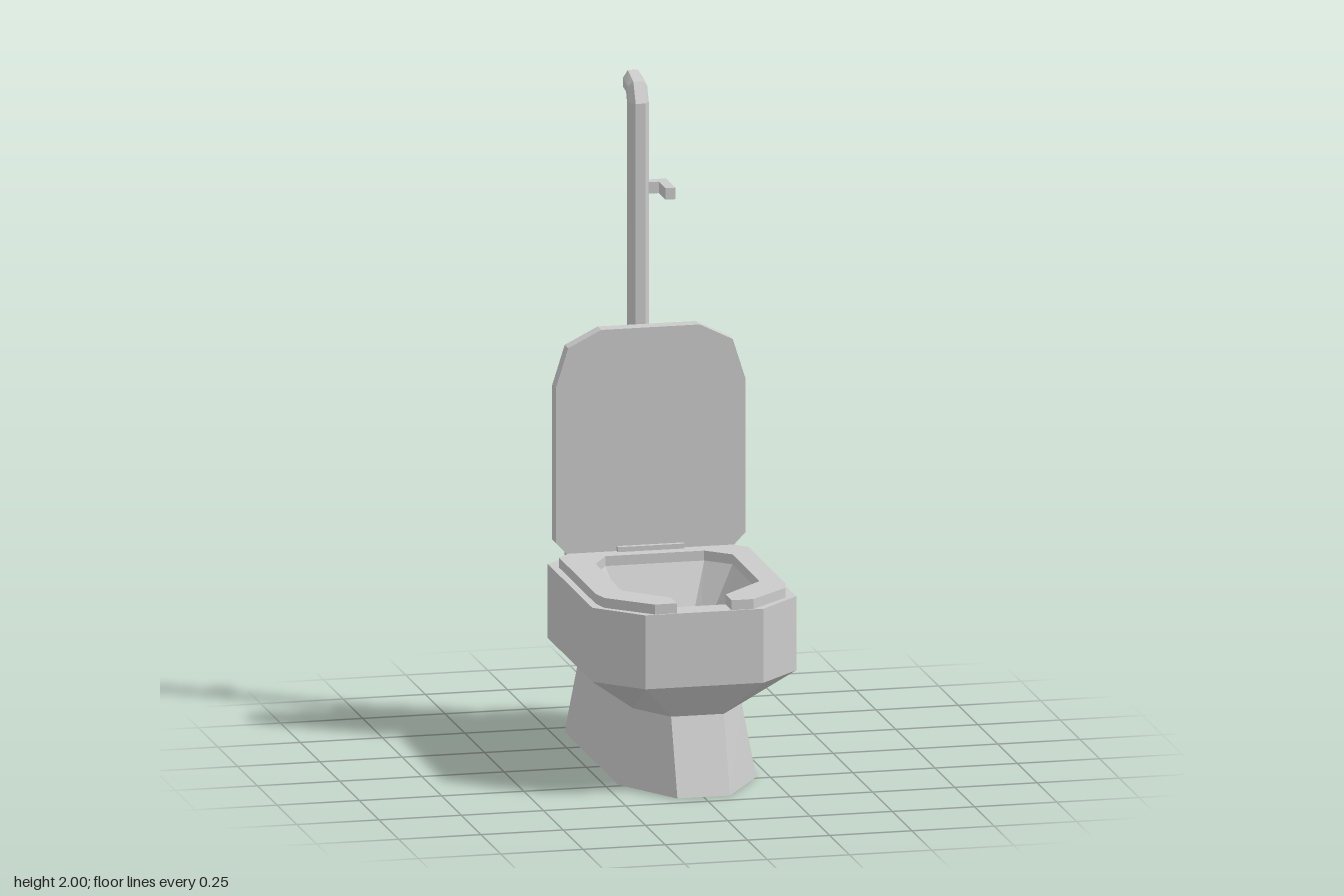
import * as THREE from 'three';

const mat = new THREE.MeshStandardMaterial({ color: 0xcccccc, flatShading: true, side: THREE.DoubleSide });

function named(geo, name) {
  const mesh = new THREE.Mesh(geo, mat);
  mesh.name = name;
  return mesh;
}

// [x, z] half outline, starting at the front on +x -> open chain from -x back round to +x back
const mirror = (half) => [...half.map(([x, z]) => [-x, z]).reverse(), ...half];
const level = (pts, y) => pts.map(([x, z]) => [x, y, z]);

// Skin a series of cross-sections with equal point counts
function loft(rings, closed = false) {
  const pos = [];
  for (let r = 0; r + 1 < rings.length; r++) {
    const a = rings[r], b = rings[r + 1], n = a.length;
    for (let i = 0; i < (closed ? n : n - 1); i++) {
      const j = (i + 1) % n;
      pos.push(...b[i], ...b[j], ...a[j], ...b[i], ...a[j], ...a[i]);
    }
  }
  const geo = new THREE.BufferGeometry();
  geo.setAttribute('position', new THREE.Float32BufferAttribute(pos, 3));
  geo.computeVertexNormals();
  return geo;
}

// Horizontal plate from an [x, z] outline, with an optional hole
function plate(outline, hole, y, height = 0) {
  const v = (pts) => pts.map(([x, z]) => new THREE.Vector2(x, -z));
  const shape = new THREE.Shape(v(outline));
  if (hole) shape.holes.push(new THREE.Path(v(hole)));
  const geo = height
    ? new THREE.ExtrudeGeometry(shape, { depth: height, bevelEnabled: false })
    : new THREE.ShapeGeometry(shape);
  return geo.rotateX(-Math.PI / 2).translate(0, y, 0);
}

function box(x0, x1, y0, y1, z0, z1) {
  return new THREE.BoxGeometry(x1 - x0, y1 - y0, z1 - z0)
    .translate((x0 + x1) / 2, (y0 + y1) / 2, (z0 + z1) / 2);
}

export function createModel() {
  const group = new THREE.Group();
  const add = (geo, name) => group.add(named(geo, name));

  // Bowl: upright band, then a taper into the pedestal neck
  const rim = mirror([[0.18, 0.455], [0.31, 0.325], [0.31, -0.24], [0.255, -0.29], [0.21, -0.29]]);
  const neck = mirror([[0.08, 0.365], [0.165, 0.235], [0.165, -0.225], [0.165, -0.225], [0.165, -0.225]]);
  add(loft([level(rim, 0.565), level(rim, 0.34), level(neck, 0.23)]), 'bowlShell');

  // Rim and basin
  const opening = [[-0.085, 0.375], [0.085, 0.375], [0.22, 0.235], [0.22, -0.11],
    [0.15, -0.175], [-0.15, -0.175], [-0.2, -0.09], [-0.205, 0.255]];
  const basin = [[-0.085, 0.24], [0.085, 0.24], [0.11, 0.215], [0.105, -0.055],
    [0.075, -0.08], [-0.075, -0.08], [-0.11, -0.045], [-0.11, 0.215]];
  add(plate(rim, opening, 0.565), 'bowlRim');
  add(loft([level(opening, 0.565), level(basin, 0.33)], true), 'basinWall');
  add(plate(basin, null, 0.33), 'basinFloor');

  // Hollow pedestal, open at the back and underneath
  const footTop = mirror([[0.08, 0.365], [0.165, 0.235], [0.165, -0.445]]);
  const foot = mirror([[0.08, 0.445], [0.21, 0.235], [0.21, -0.445]]);
  add(loft([level(footTop, 0.23), level(foot, 0)]), 'pedestal');

  // Rear housing: side walls flare out from the pedestal
  for (const s of [1, -1]) {
    add(loft([
      [[s * 0.21, 0.645, -0.29], [s * 0.21, 0.645, -0.445]],
      [[s * 0.21, 0.33, -0.29], [s * 0.21, 0.48, -0.445]],
      [[s * 0.165, 0.23, -0.225], [s * 0.165, 0.23, -0.445]],
    ]), s > 0 ? 'housingSideLeft' : 'housingSideRight');
  }
  add(loft([
    [[-0.21, 0.645, -0.29], [0.21, 0.645, -0.29]],
    [[-0.21, 0.5, -0.29], [0.21, 0.5, -0.29]],
  ]), 'housingFront');
  const pipeHole = [[-0.03, -0.405], [0.03, -0.405], [0.03, -0.378], [0.015, -0.355],
    [-0.015, -0.355], [-0.03, -0.378]];
  add(plate([[-0.21, -0.29], [0.21, -0.29], [0.21, -0.445], [-0.21, -0.445]], pipeHole, 0.645), 'housingTop');

  // Seat with a gap at the front
  const seat = [
    [0.083, 0.375], [0.083, 0.45], [0.15, 0.45], [0.275, 0.335], [0.288, 0.28], [0.288, -0.19], [0.25, -0.23],
    [-0.25, -0.23], [-0.288, -0.19], [-0.288, 0.28], [-0.275, 0.335], [-0.15, 0.45], [-0.083, 0.45], [-0.083, 0.375],
    [-0.205, 0.255], [-0.2, -0.09], [-0.15, -0.175], [0.15, -0.175], [0.22, -0.11], [0.22, 0.235],
  ];
  add(plate(seat, null, 0.565, 0.03), 'seat');
  add(box(-0.103, 0.1, 0.565, 0.61, -0.29, -0.215), 'hinge');

  // Raised lid
  const lidHalf = [[0.24, 0.58], [0.288, 0.63], [0.288, 1.1], [0.25, 1.22], [0.15, 1.27]];
  const lidShape = new THREE.Shape(mirror(lidHalf).map(([x, y]) => new THREE.Vector2(x, y)));
  add(new THREE.ExtrudeGeometry(lidShape, { depth: 0.045, bevelEnabled: false }).translate(0, 0, -0.275), 'lid');

  // Pipe: six-sided section between an outer and an inner edge [y, z], bent back at the top
  const pipePath = [
    [[0.645, -0.355], [0.645, -0.405]],
    [[1.92, -0.355], [1.92, -0.405]],
    [[1.98, -0.385], [1.945, -0.415]],
    [[2.0, -0.455], [1.95, -0.455]],
  ];
  const section = [[-0.03, 1], [0.03, 1], [0.03, 0.45], [0.015, 0], [-0.015, 0], [-0.03, 0.45]];
  add(loft(pipePath.map(([o, i]) => section.map(([x, t]) =>
    [x, o[0] + (i[0] - o[0]) * t, o[1] + (i[1] - o[1]) * t])), true), 'pipe');

  // Flush lever: an L-shaped arm
  add(plate([[0.02, -0.375], [0.06, -0.375], [0.06, -0.29], [0.09, -0.29], [0.09, -0.41], [0.02, -0.41]],
    null, 1.64, 0.035), 'flushLever');

  return group;
}
